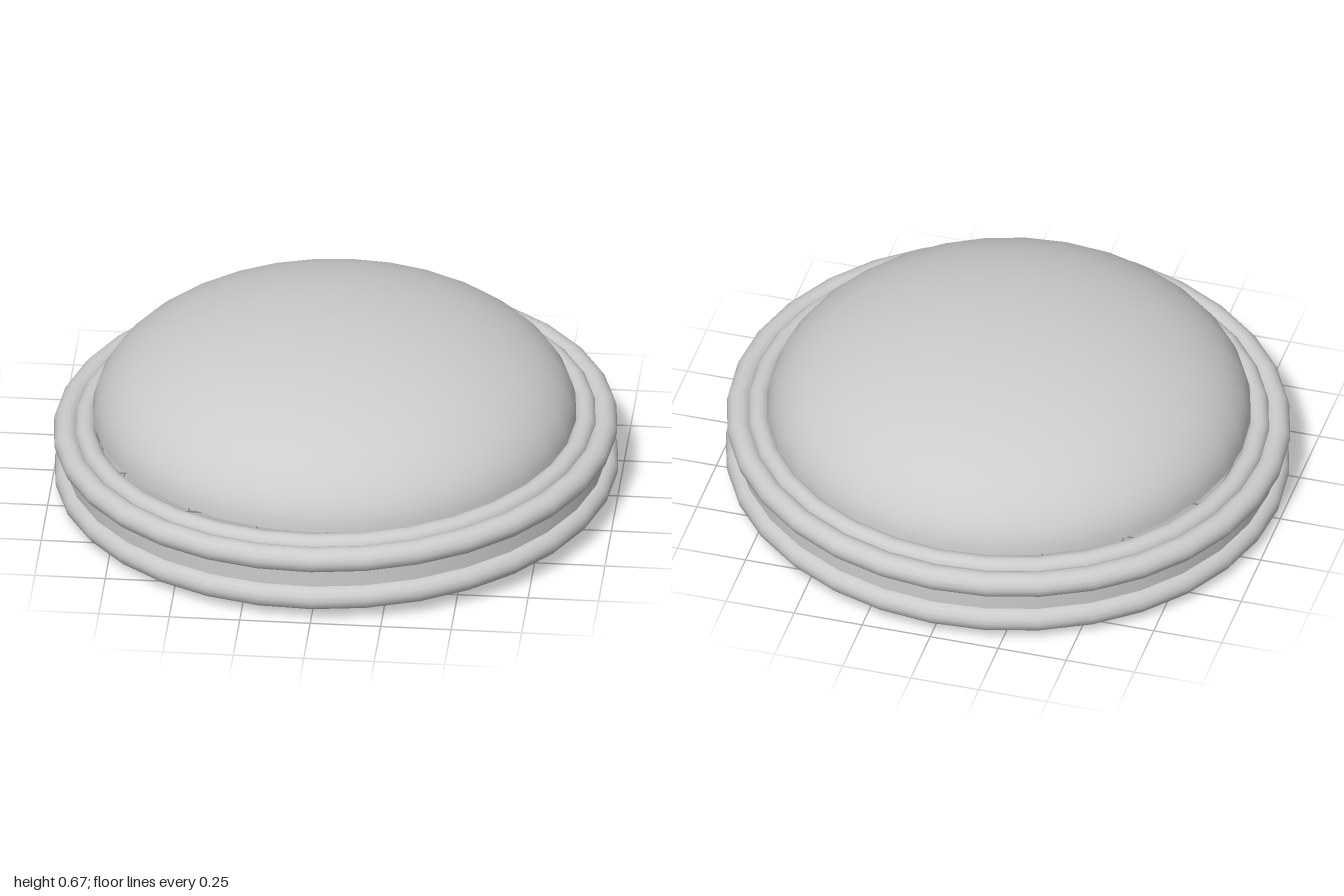
import * as THREE from 'three';

export function createModel() {
  const model = new THREE.Group();
  const material = new THREE.MeshStandardMaterial({ color: 0xcccccc });
  const shell = new THREE.MeshStandardMaterial({ color: 0xcccccc, side: THREE.DoubleSide });
  const SIDES = 32;

  const add = (parent, name, geometry, mat = material) => {
    const mesh = new THREE.Mesh(geometry, mat);
    mesh.name = name;
    parent.add(mesh);
    return mesh;
  };

  // Slightly tilted collar, its origin at mid height
  const collar = new THREE.Group();
  collar.name = 'collar';
  collar.position.y = 0.168;
  collar.rotation.z = 0.024;
  model.add(collar);

  // Straight inner and outer walls
  for (const [name, radius] of [['outerWall', 0.96], ['innerWall', 0.857]]) {
    add(collar, name, new THREE.CylinderGeometry(radius, radius, 0.17, SIDES, 1, true), shell);
  }

  // Rounded bands outside and rolled lips at the openings, mirrored top and bottom
  const ring = (name, radius, tube, y) => {
    const geometry = new THREE.TorusGeometry(radius, tube, 14, SIDES);
    geometry.rotateX(Math.PI / 2);
    geometry.rotateY(Math.PI / 2);
    add(collar, name, geometry).position.y = y;
  };
  for (const [label, s] of [['upper', 1], ['lower', -1]]) {
    ring(label + 'Band', 0.954, 0.045, 0.075 * s);
    ring(label + 'Lip', 0.886, 0.039, 0.098 * s);
  }

  // Open, level dome resting over the collar
  const profile = [];
  const STEPS = 20;
  for (let i = 0; i <= STEPS; i++) {
    const a = (i / STEPS) * Math.PI / 2;
    profile.push(new THREE.Vector2(0.857 * Math.cos(a), 0.39 * Math.sin(a)));
  }
  profile[STEPS].x = 0;
  const dome = add(model, 'dome', new THREE.LatheGeometry(profile, SIDES), shell);
  dome.position.set(-0.005, 0.295, -0.005);

  return model;
}
